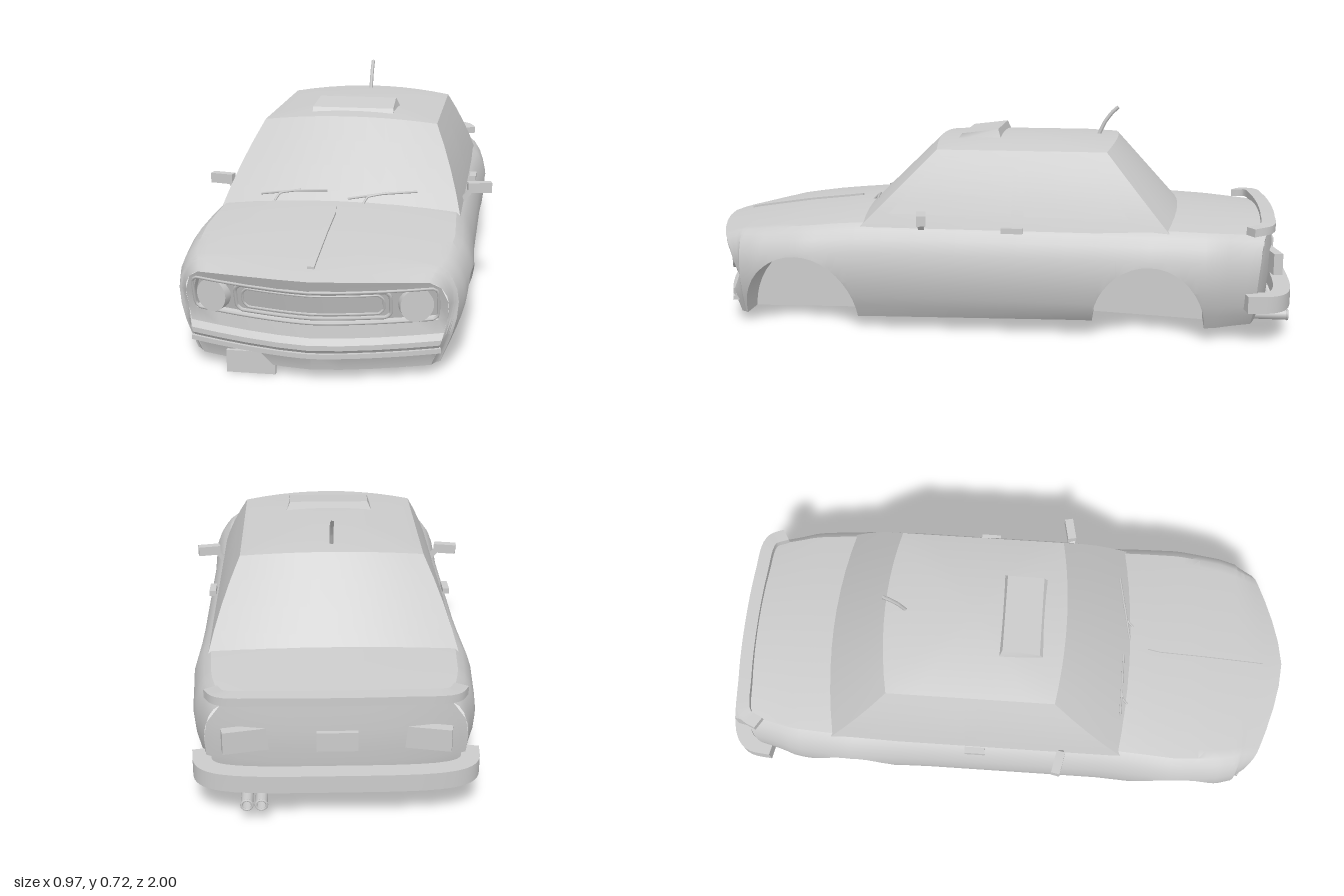
import * as THREE from 'three';
import { toCreasedNormals } from 'three/addons/utils/BufferGeometryUtils.js';

const V = (x, y, z) => new THREE.Vector3(x, y, z);
const grey = new THREE.MeshStandardMaterial({ color: 0xcccccc, side: THREE.DoubleSide });

// piecewise linear lookup in [[key, value], ...] with rising keys
function lerpTable(table, k) {
  if (k <= table[0][0]) return table[0][1];
  for (let i = 1; i < table.length; i++) {
    const [k0, v0] = table[i - 1], [k1, v1] = table[i];
    if (k <= k1) return k1 === k0 ? v1 : v0 + (v1 - v0) * (k - k0) / (k1 - k0);
  }
  return table[table.length - 1][1];
}

// skin over rows of points, dropping collapsed triangles
function skin(rows, closed = false, crease = 0.5) {
  const pos = [], n = rows[0].length;
  const tri = (a, b, c) => {
    const area = b.clone().sub(a).cross(c.clone().sub(a)).length();
    if (area > 1e-8) for (const p of [a, b, c]) pos.push(p.x, p.y, p.z);
  };
  for (let i = 0; i < rows.length - 1; i++) {
    for (let j = 0; j < (closed ? n : n - 1); j++) {
      const a = rows[i][j], b = rows[i][(j + 1) % n], c = rows[i + 1][(j + 1) % n], d = rows[i + 1][j];
      tri(a, b, d);
      tri(b, c, d);
    }
  }
  const g = new THREE.BufferGeometry();
  g.setAttribute('position', new THREE.Float32BufferAttribute(pos, 3));
  return toCreasedNormals(g, crease);
}

// box bent along a curve, staying upright
function bentBox(points, height, depth, segments = 24) {
  const curve = new THREE.CatmullRomCurve3(points);
  const g = new THREE.BoxGeometry(1, height, depth, segments, 1, 1);
  const p = g.attributes.position;
  for (let i = 0; i < p.count; i++) {
    const u = Math.min(1, Math.max(0, p.getX(i) + 0.5));
    const c = curve.getPoint(u), t = curve.getTangent(u);
    const l = Math.hypot(t.x, t.z), d = p.getZ(i);
    p.setXYZ(i, c.x - t.z / l * d, c.y + p.getY(i), c.z + t.x / l * d);
  }
  return toCreasedNormals(g, 0.5);
}

// body shape rules along the length
const topY = z => lerpTable([[-0.95, 0.37], [-0.85, 0.377], [-0.6, 0.39], [0.43, 0.392], [0.5, 0.387], [0.7, 0.365], [0.9, 0.335], [1, 0.315]], z);
const baseY = z => lerpTable([[-0.95, 0.05], [-0.7, 0.04], [-0.35, 0.055], [0.44, 0.04], [1, 0.03]], z);
const widthK = z => lerpTable([[-0.95, 0.88], [-0.85, 0.92], [-0.72, 0.98], [-0.53, 1.015], [-0.3, 0.99], [0.35, 0.99], [0.62, 1.02], [0.78, 0.98], [0.87, 0.92], [1, 0.88]], z);
const noseZ = y => lerpTable([[0.03, 0.945], [0.075, 0.955], [0.1, 0.975], [0.115, 0.975], [0.13, 0.955], [0.17, 0.95], [0.28, 0.985], [0.315, 1]], y);
const tailZ = y => lerpTable([[0.04, -0.9], [0.12, -0.93], [0.25, -0.945], [0.38, -0.94]], y);
const frontAt = (x, y, off = 0) => V(x, y, noseZ(y) - 0.09 * (Math.abs(x) / 0.36) ** 1.5 + off);
const backAt = (x, y, off = 0) => V(x, y, tailZ(y) + 0.05 * (Math.abs(x) / 0.36) ** 3 - off);
const arches = [{ c: 0.637, r: 0.197 }, { c: -0.53, r: 0.182 }];

// side outline at z as [height, half width]
function sideProfile(z) {
  const b = baseY(z), T = topY(z), k = widthK(z), up = f => 0.22 + (T - 0.22) * f;
  return [[b, 0.385], [0.085, 0.408], [0.12, 0.422], [0.17, 0.435], [0.22, 0.44], [up(0.3), 0.434], [up(0.55), 0.42], [up(0.72), 0.402], [up(0.83), 0.38]]
    .map(([y, x]) => [y, x * k]);
}

// carry both ends of the body onto the bowed nose and tail
function shapeEnds(x, y, z) {
  if (z > 0.84) return V(x, y, 0.84 + (z - 0.84) / 0.16 * (frontAt(x, y).z - 0.84));
  if (z < -0.75) return V(x, y, -0.75 + (z + 0.75) / -0.2 * (backAt(x, y).z + 0.75));
  return V(x, y, z);
}

function bodyRing(z) {
  const b = baseY(z), prof = sideProfile(z), T = topY(z);
  let yb = b;
  for (const { c, r } of arches) {
    const q = 1 - ((z - c) / r) ** 2;
    if (q > 0) yb = Math.max(yb, b + (0.252 - b) * Math.sqrt(q));
  }
  const [edgeY, edgeX] = prof[prof.length - 1];
  const half = [[0, b], [0.27, b], [0.27, yb], [lerpTable(prof, yb), yb]];
  for (const [y] of prof) half.push([lerpTable(prof, Math.max(y, yb)), Math.max(y, yb)]);
  for (const u of [0.92, 0.75, 0.5, 0.25, 0]) half.push([edgeX * u, T - (T - edgeY) * u * u]);
  const mirrored = half.slice(1, -1).reverse().map(([x, y]) => [-x, y]);
  return [...half, ...mirrored].map(([x, y]) => shapeEnds(x, y, z));
}

function endCap(z, ys, at, recess) {
  const prof = sideProfile(z), [edgeY, edgeX] = prof[prof.length - 1], T = topY(z);
  const half = [0, 0.25, 0.5, 0.75, 0.925, 0.935, 1];
  const us = [...half.slice(1).reverse().map(u => -u), ...half];
  const rows = [...ys, edgeY].map(y => us.map(u => at(u * lerpTable(prof, y), y,
    recess && Math.abs(u) < 0.93 && y > 0.172 && y < 0.278 ? -0.028 : 0)));
  rows.push(us.map(u => at(u * edgeX, T - (T - edgeY) * u * u)));
  return z > 0 ? rows : rows.map(r => r.reverse());
}

// cabin outline at height fraction k, shrunk by s for the roof
const cabinX = k => 0.392 - 0.097 * k + 0.03 * k * (1 - k);
function cabinRing(k, s = 1) {
  const w = cabinX(k), zf = 0.485 - 0.28 * k, zr = -0.66 + 0.245 * k, ring = [];
  const bf = 0.06 - 0.035 * k, br = 0.065 - 0.035 * k, zc = (zf + zr) / 2;
  const add = (x, z) => ring.push(V(x * s, 0.35 + 0.25 * k + k * 0.022 * (1 - (x * s / w) ** 2) + 0.01 * (1 - s * s), zc + (z - zc) * s));
  for (let i = -5; i <= 5; i++) add(w * i / 5, zf - bf * (i / 5) ** 2);
  for (let i = 1; i < 6; i++) add(w, zf - bf + (zr + br - zf + bf) * i / 6);
  for (let i = 5; i >= -5; i--) add(w * i / 5, zr + br * (i / 5) ** 2);
  for (let i = 5; i > 0; i--) add(-w, zf - bf + (zr + br - zf + bf) * i / 6);
  return ring;
}

export function createModel() {
  const car = new THREE.Group();
  car.name = 'carBody';
  const add = (name, geo, x = 0, y = 0, z = 0) => {
    const m = new THREE.Mesh(geo, grey);
    m.name = name;
    m.position.set(x, y, z);
    car.add(m);
    return m;
  };
  const box = (name, w, h, d, x, y, z) => add(name, new THREE.BoxGeometry(w, h, d), x, y, z);
  const tube = (name, pts, r, closed = false, n = 48) =>
    add(name, new THREE.TubeGeometry(new THREE.CatmullRomCurve3(pts, closed, 'catmullrom', 0.2), n, r, 5, closed));

  // lower body with wheel wells
  const zs = [-0.95, -0.9, -0.85, -0.8, -0.75, -0.25, -0.1, 0.1, 0.25, 0.35, 0.84, 0.87, 0.9, 0.95, 1];
  for (const { c, r } of arches) for (let i = 0; i <= 20; i++) zs.push(c + r * Math.cos(Math.PI * i / 20));
  zs.sort((a, b) => a - b);
  add('lowerBody', skin(zs.map(bodyRing), true));
  add('nosePanel', skin(endCap(1, [0.03, 0.075, 0.1, 0.115, 0.13, 0.17, 0.175, 0.225, 0.275, 0.28], frontAt, true)));
  add('tailPanel', skin(endCap(-0.95, [0.05, 0.085, 0.12, 0.17, 0.22, 0.28], backAt, false)));

  // cabin and roof
  const rings = [0, 0.25, 0.5, 0.75, 1].map(k => cabinRing(k));
  for (const s of [0.9, 0.7, 0.45, 0.2, 0.001]) rings.push(cabinRing(1, s));
  add('cabin', skin(rings, true, 0.4));

  // grille frames and bumper trim on the nose
  const frame = (name, w, y0, y1, off, r) => {
    const pts = [], c = 0.015;
    for (let i = -6; i <= 6; i++) pts.push(frontAt((w - c) * i / 6, y0, off));
    pts.push(frontAt(w, y0 + c, off), frontAt(w, y1 - c, off));
    for (let i = 6; i >= -6; i--) pts.push(frontAt((w - c) * i / 6, y1, off));
    pts.push(frontAt(-w, y1 - c, off), frontAt(-w, y0 + c, off));
    tube(name, pts, r, true, 120);
  };
  frame('grilleSurround', 0.358, 0.174, 0.278, 0, 0.005);
  frame('grilleFrame', 0.225, 0.184, 0.268, -0.018, 0.006);
  frame('grilleInsert', 0.205, 0.195, 0.256, -0.024, 0.004);
  const across = (w, y, off) => [-1, -0.75, -0.5, -0.25, 0, 0.25, 0.5, 0.75, 1].map(u => frontAt(u * w, y, off));
  add('frontBumperTrim', bentBox(across(0.365, 0.083, 0.004), 0.014, 0.02));
  box('frontPlate', 0.145, 0.068, 0.012, -0.18, 0.034, 0.922);

  // bonnet ridge
  const ridge = new THREE.BoxGeometry(0.02, 0.014, 0.42, 1, 1, 10);
  const rp = ridge.attributes.position;
  for (let i = 0; i < rp.count; i++) {
    const z = rp.getZ(i) + 0.72, taper = z < 0.55 ? 0.4 : 1;
    rp.setXYZ(i, rp.getX(i) * taper, topY(z) + rp.getY(i), z);
  }
  ridge.computeVertexNormals();
  add('bonnetRidge', ridge);

  // roof air deflector
  const wedge = new THREE.BoxGeometry(0.3, 0.03, 0.155);
  const wp = wedge.attributes.position;
  for (let i = 0; i < wp.count; i++) {
    const top = wp.getY(i) > 0, rear = wp.getZ(i) < 0, sx = Math.sign(wp.getX(i));
    wp.setXYZ(i, sx * (rear ? (top ? 0.135 : 0.155) : 0.14), top ? (rear ? 0.652 : 0.636) : 0.61, rear ? (top ? -0.005 : -0.02) : (top ? 0.12 : 0.14));
  }
  wedge.computeVertexNormals();
  add('roofDeflector', wedge);
  tube('antenna', [V(0, 0.61, -0.34), V(0, 0.665, -0.365), V(0, 0.7, -0.39), V(0, 0.72, -0.412)], 0.007, false, 12);

  // wipers
  const glassZ = (x, y) => {
    const k = (y - 0.35) / 0.265;
    return 0.492 - 0.28 * k - (0.06 - 0.035 * k) * (x / 0.38) ** 2;
  };
  for (const x0 of [-0.26, 0.03]) {
    const P = (dx, y) => V(x0 + dx, y, glassZ(x0 + dx, y));
    tube('wiperBlade', [P(0, 0.4), P(0.11, 0.414), P(0.22, 0.42)], 0.004, false, 10);
    tube('wiperArm', [P(0.05, 0.385), P(0.065, 0.406), P(0.13, 0.417)], 0.004, false, 10);
  }

  // rear bumper, boot lip, plate and exhausts
  const mirrorPath = half => [...half, ...half.slice(0, -1).reverse().map(p => V(-p.x, p.y, p.z))];
  add('rearBumper', bentBox(mirrorPath([V(-0.4, 0.137, -0.84), V(-0.385, 0.137, -0.92), V(-0.33, 0.137, -0.955), V(0, 0.137, -0.972)]), 0.055, 0.055, 36));
  add('bootLip', bentBox(mirrorPath([V(-0.365, 0.362, -0.85), V(-0.335, 0.368, -0.9), V(-0.2, 0.373, -0.918), V(0, 0.375, -0.925)]), 0.026, 0.045, 36));
  box('rearPlate', 0.12, 0.06, 0.02, 0, 0.25, -0.947);
  for (const x of [0.22, 0.262]) {
    const pipe = add('exhaust', new THREE.CylinderGeometry(0.018, 0.018, 0.14, 12, 1, true), x, 0.064, -0.92);
    pipe.rotation.x = Math.PI / 2;
    add('exhaustRim', new THREE.TorusGeometry(0.016, 0.004, 6, 12), x, 0.064, -0.988);
  }

  // paired parts
  for (const s of [-1, 1]) {
    const p = frontAt(s * 0.295, 0.225, -0.012);
    const lamp = add('headlight', new THREE.CylinderGeometry(0.049, 0.049, 0.03, 28).rotateX(Math.PI / 2), p.x, p.y, p.z);
    lamp.rotation.y = s * 0.32;
    const tail = box('tailLight', 0.165, 0.07, 0.03, s * 0.25, 0.25, backAt(0.25, 0.25).z);
    tail.rotation.y = s * 0.2;
    const mirror = box('mirrorHousing', 0.08, 0.034, 0.03, s * 0.444, 0.393, 0.207);
    mirror.rotation.y = s * 0.2;
    const arm = box('mirrorArm', 0.045, 0.016, 0.02, s * 0.4, 0.365, 0.217);
    arm.rotation.z = s * 0.9;
    box('doorHandle', 0.022, 0.018, 0.07, s * 0.41, 0.355, -0.085);
    // side glass: bottom front, bottom rear, top front, top rear
    for (const [bf, br, tf, tr] of [[0.33, -0.08, 0.16, -0.08], [-0.12, -0.46, -0.12, -0.34]]) {
      const rows = [0, 0.25, 0.5, 0.75, 1].map(t => {
        const y = 0.395 + 0.18 * t, x = s * (cabinX((y - 0.35) / 0.25) + 0.002);
        const row = [V(x, y, bf + (tf - bf) * t), V(x, y, br + (tr - br) * t)];
        return s > 0 ? row : row.reverse();
      });
      add('sideWindow', skin(rows));
    }
  }
  return car;
}
